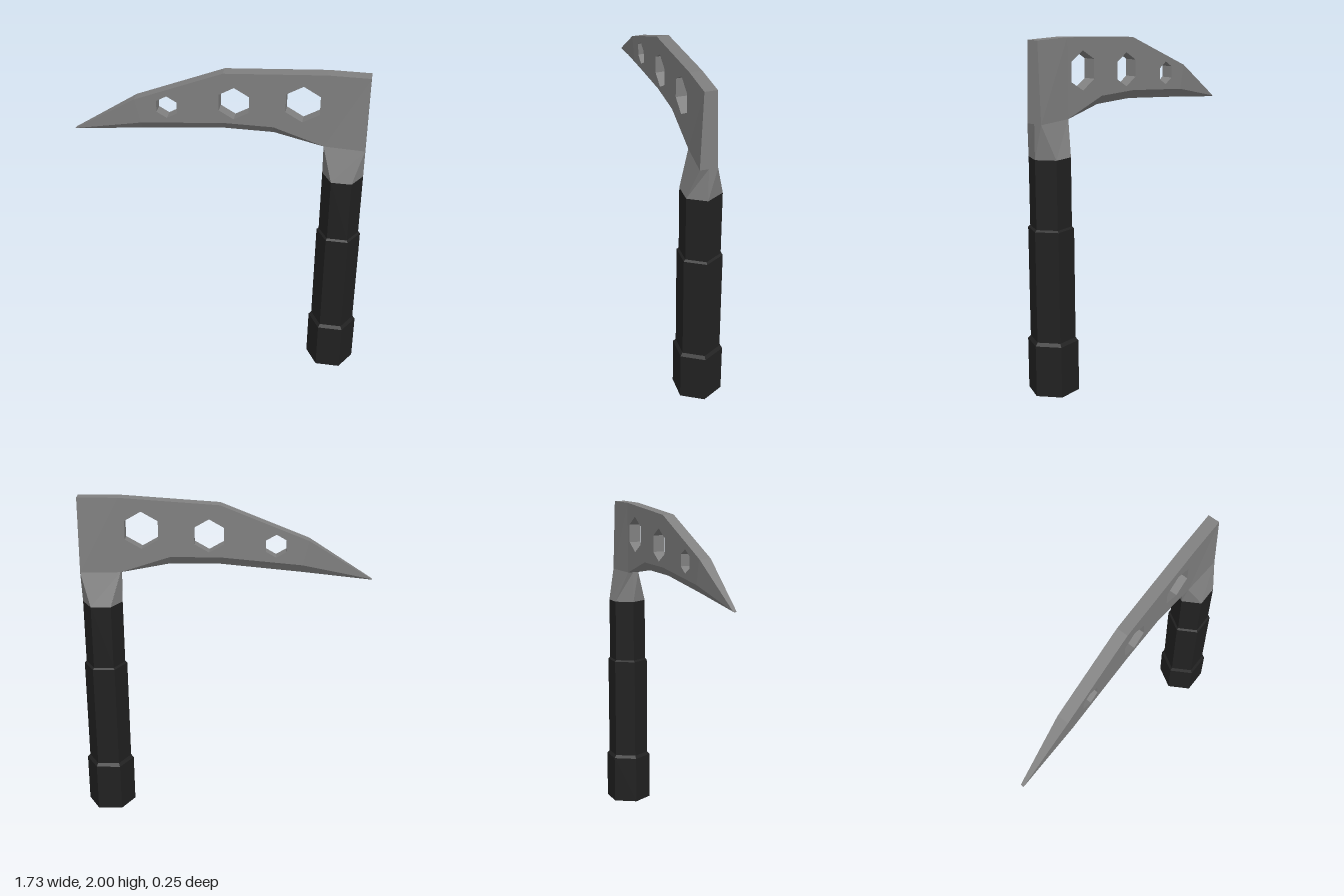
import * as THREE from 'three';

// Flat faces listed for the +z half (counter-clockwise), mirrored to -z
function mirroredFaces(polys) {
  const pos = [];
  const fan = (p) => {
    for (let i = 1; i < p.length - 1; i++) pos.push(...p[0], ...p[i], ...p[i + 1]);
  };
  for (const p of polys) {
    fan(p);
    fan(p.map(([x, y, z]) => [x, y, -z]).reverse());
  }
  const g = new THREE.BufferGeometry();
  g.setAttribute('position', new THREE.Float32BufferAttribute(pos, 3));
  g.computeVertexNormals();
  return g;
}

export function createModel() {
  const group = new THREE.Group();
  group.name = 'sickle';
  const steel = new THREE.MeshStandardMaterial({ color: 0x808080 });
  steel.name = 'steel grey';
  const grip = new THREE.MeshStandardMaterial({ color: 0x212121 });
  grip.name = 'grip black';
  const add = (name, geometry, material) => {
    const m = new THREE.Mesh(geometry, material);
    m.name = name;
    group.add(m);
    return m;
  };

  const cx = 0.718, T = 0.035; // handle axis, half thickness of the blade

  // Stepped hexagonal handle with small chamfers
  const profile = [[0, 0], [0.146, 0], [0.146, 0.3], [0.13, 0.318], [0.13, 0.96], [0.118, 0.97], [0.118, 1.36]]
    .map(([r, y]) => new THREE.Vector2(r, y));
  const handle = new THREE.LatheGeometry(profile, 6, Math.PI / 2).toNonIndexed();
  handle.computeVertexNormals();
  add('handle', handle, grip).position.x = cx;

  // Collar blending the hexagonal handle into the flat blade
  const r = 0.118, hz = r * 0.866, y0 = 1.36, y1 = 1.555, xl = 0.6, xr = 0.835;
  const frontL = [cx - r / 2, y0, hz], frontR = [cx + r / 2, y0, hz];
  add('collar', mirroredFaces([
    [frontL, frontR, [xr, y1, 0.05], [xl, y1, T]],
    [frontR, [cx + r, y0, 0], [xr, y1, 0], [xr, y1, 0.05]],
    [[cx - r, y0, 0], frontL, [xl, y1, T], [xl, y1, 0]],
  ]), steel);

  // Heel of the blade above the collar
  add('bladeHeel', mirroredFaces([
    [[xl, y1, T], [xr, y1, 0.05], [xr, 2, T], [xl, 2, T]],
    [[xr, y1, 0.05], [xr, y1, 0], [xr, 2, 0], [xr, 2, T]],
    [[xl, 2, T], [xr, 2, T], [xr, 2, 0], [xl, 2, 0]],
  ]), steel);

  // Main plate with three hexagonal holes
  const plate = new THREE.Shape([
    [-0.46, 1.605], [0.02, 1.65], [0.31, 1.65], [xl, y1], [xl, 2], [0.02, 1.96], [-0.495, 1.752],
  ].map(([x, y]) => new THREE.Vector2(x, y)));
  for (const [x, y, rad] of [[-0.305, 1.72, 0.069], [0.083, 1.778, 0.099], [0.472, 1.809, 0.111]]) {
    const pts = [];
    for (let i = 0; i < 6; i++) {
      const a = Math.PI / 2 - i * Math.PI / 3;
      pts.push(new THREE.Vector2(x + rad * Math.cos(a), y + rad * Math.sin(a)));
    }
    plate.holes.push(new THREE.Path(pts));
  }
  const plateGeo = new THREE.ExtrudeGeometry(plate, { depth: 2 * T, bevelEnabled: false });
  plateGeo.translate(0, 0, -T);
  add('bladePlate', plateGeo, steel);

  // Tapering point
  const tip = [-0.867, 1.514, 0.01], tipMid = [-0.867, 1.514, 0], tipEdge = [-0.867, 1.508, 0];
  add('bladeTip', mirroredFaces([
    [tip, [-0.46, 1.605, T], [-0.495, 1.752, T]],
    [tip, [-0.495, 1.752, T], [-0.495, 1.752, 0], tipMid],
    [tipMid, tipEdge, tip],
  ]), steel);

  // Sharpened bevel along the lower edge
  const upper = [tip, [-0.46, 1.605, T], [0.02, 1.65, T], [0.31, 1.65, T]];
  const lower = [tipEdge, [-0.46, 1.553, 0], [0.02, 1.6, 0], [0.31, 1.6, 0]];
  const bevel = [];
  for (let i = 0; i < 3; i++) bevel.push([lower[i], lower[i + 1], upper[i + 1], upper[i]]);
  bevel.push([lower[3], [xl, y1, T], upper[3]]);
  bevel.push([lower[3], [xl, y1, 0], [xl, y1, T]]);
  add('cuttingEdge', mirroredFaces(bevel), steel);

  return group;
}
